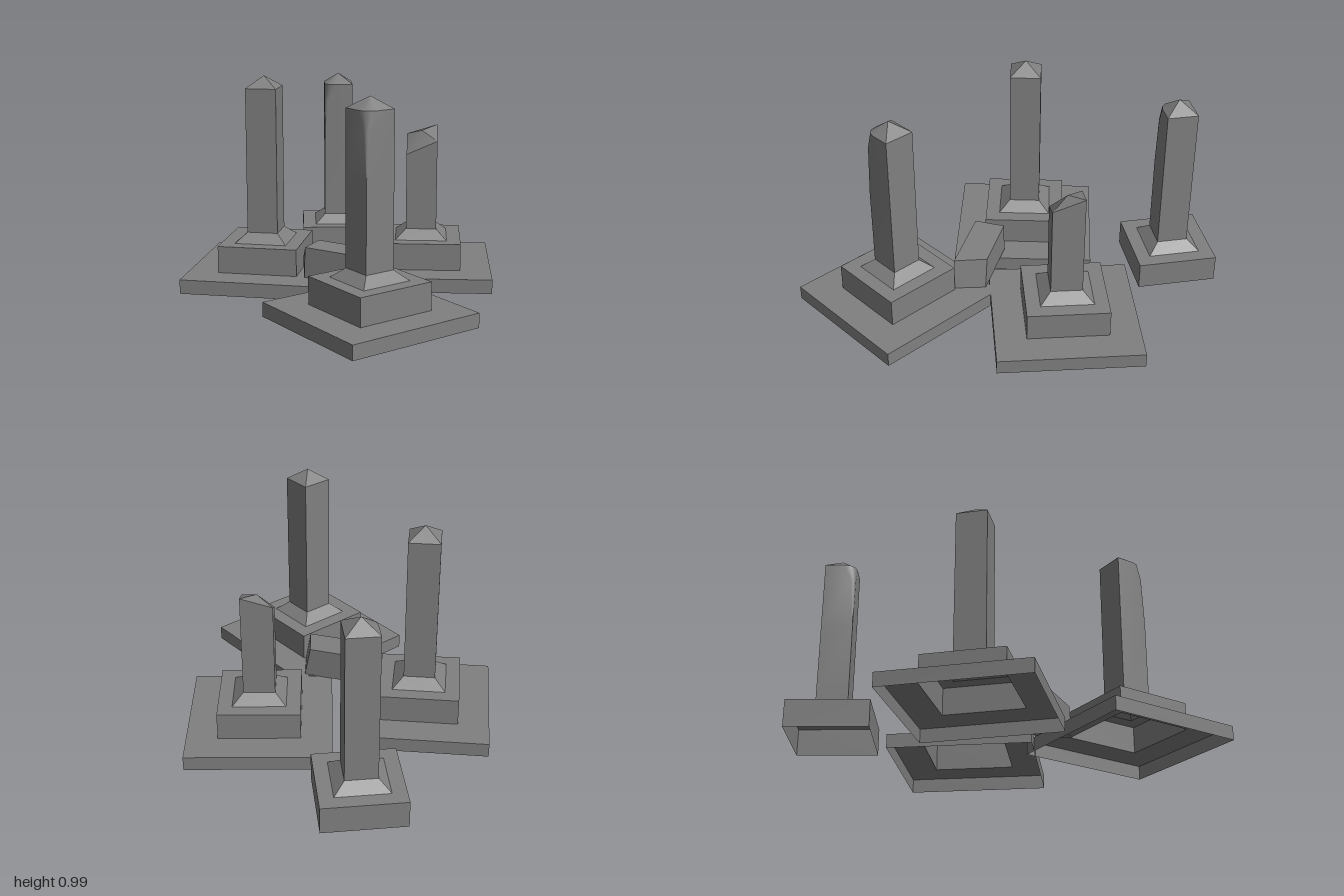
import * as THREE from 'three';
import { toCreasedNormals } from 'three/addons/utils/BufferGeometryUtils.js';

const material = new THREE.MeshStandardMaterial({ color: 0x808080, side: THREE.DoubleSide });

const ARC = 3; // segments of the front left corner

// Square ring: front left corner (an arc of radius r), front right, back right, back left.
// y is one height or one per corner.
function ring(size, y, r = 0) {
  const h = size / 2;
  const heights = Array.isArray(y) ? y : [y, y, y, y];
  const points = [];
  for (let i = 0; i <= ARC; i++) {
    const a = (i / ARC) * Math.PI / 2;
    points.push([-h + r - r * Math.cos(a), heights[0], h - r + r * Math.sin(a)]);
  }
  points.push([h, heights[1], h], [h, heights[2], -h], [-h, heights[3], -h]);
  return points;
}

// Skin through a list of rings, smooth only across shallow edges
function loft(name, rings) {
  const pos = [];
  const n = rings[0].length;
  for (let k = 0; k + 1 < rings.length; k++) {
    for (let i = 0; i < n; i++) {
      const j = (i + 1) % n;
      const [a, b, c, d] = [rings[k][i], rings[k][j], rings[k + 1][j], rings[k + 1][i]];
      pos.push(...a, ...b, ...c, ...a, ...c, ...d);
    }
  }
  const geo = new THREE.BufferGeometry();
  geo.setAttribute('position', new THREE.Float32BufferAttribute(pos, 3));
  const mesh = new THREE.Mesh(toCreasedNormals(geo, 0.55), material);
  mesh.name = name;
  return mesh;
}

const SHAFT = 0.146, SKIRT = 0.246, STEP = 0.378, SLAB = 0.667;

// Hollow pillar, open underneath: optional wide slab, step, sloping skirt, shaft
function pillar(name, x, z, turn, hasSlab, shaftRings) {
  const g = new THREE.Group();
  g.name = name;
  const y0 = hasSlab ? 0.067 : 0;
  const y1 = y0 + 0.128, y2 = y1 + 0.045;
  if (hasSlab) g.add(loft('slab', [ring(SLAB, 0), ring(SLAB, y0), ring(STEP, y0)]));
  g.add(loft('step', [ring(STEP, y0), ring(STEP, y1), ring(SKIRT, y1)]));
  g.add(loft('skirt', [ring(SKIRT, y1), ring(SHAFT, y2)]));
  g.add(loft('shaft', [ring(SHAFT, y2), ...shaftRings]));
  g.position.set(x, 0, z);
  g.rotation.y = turn;
  return g;
}

// Upper shaft and pointed cap with one corner worn round towards the eaves
function wornShaft(eaves) {
  return [
    ring(SHAFT, eaves - 0.32),
    ring(SHAFT, eaves - 0.08, 0.02),
    ring(SHAFT, eaves, 0.055),
    ring(0, eaves + 0.053),
  ];
}

export function createModel() {
  const model = new THREE.Group();
  model.name = 'ruinedPillars';

  // Intact pillar
  model.add(pillar('intactPillar', -0.365, -0.195, -0.338, true,
    [ring(SHAFT, 0.93), ring(0, 0.985)]));

  // Front pillar and small back pillar, each worn at the front left corner
  model.add(pillar('wornPillar', 0.005, 0.55, 0.464, true, wornShaft(0.932)));
  model.add(pillar('smallPillar', 0.083, -0.793, -0.12, false, wornShaft(0.863)));

  // Broken pillar with a slanting top
  model.add(pillar('brokenPillar', 0.39, -0.148, -0.227, true,
    [ring(SHAFT, [0.605, 0.67, 0.728, 0.682]), ring(0, 0.71)]));

  // Fallen tip lying between the pillars
  const tip = loft('fallenTip', [
    ring(0, -0.183),
    ring(SHAFT, [-0.226, -0.194, -0.139, -0.174]),
    ring(SHAFT, 0.132),
    ring(0, 0.175),
  ]);
  tip.position.set(-0.067, 0.145, 0.118);
  tip.rotation.set(0, -0.59, Math.PI / 2 - 0.04);
  model.add(tip);

  return model;
}
